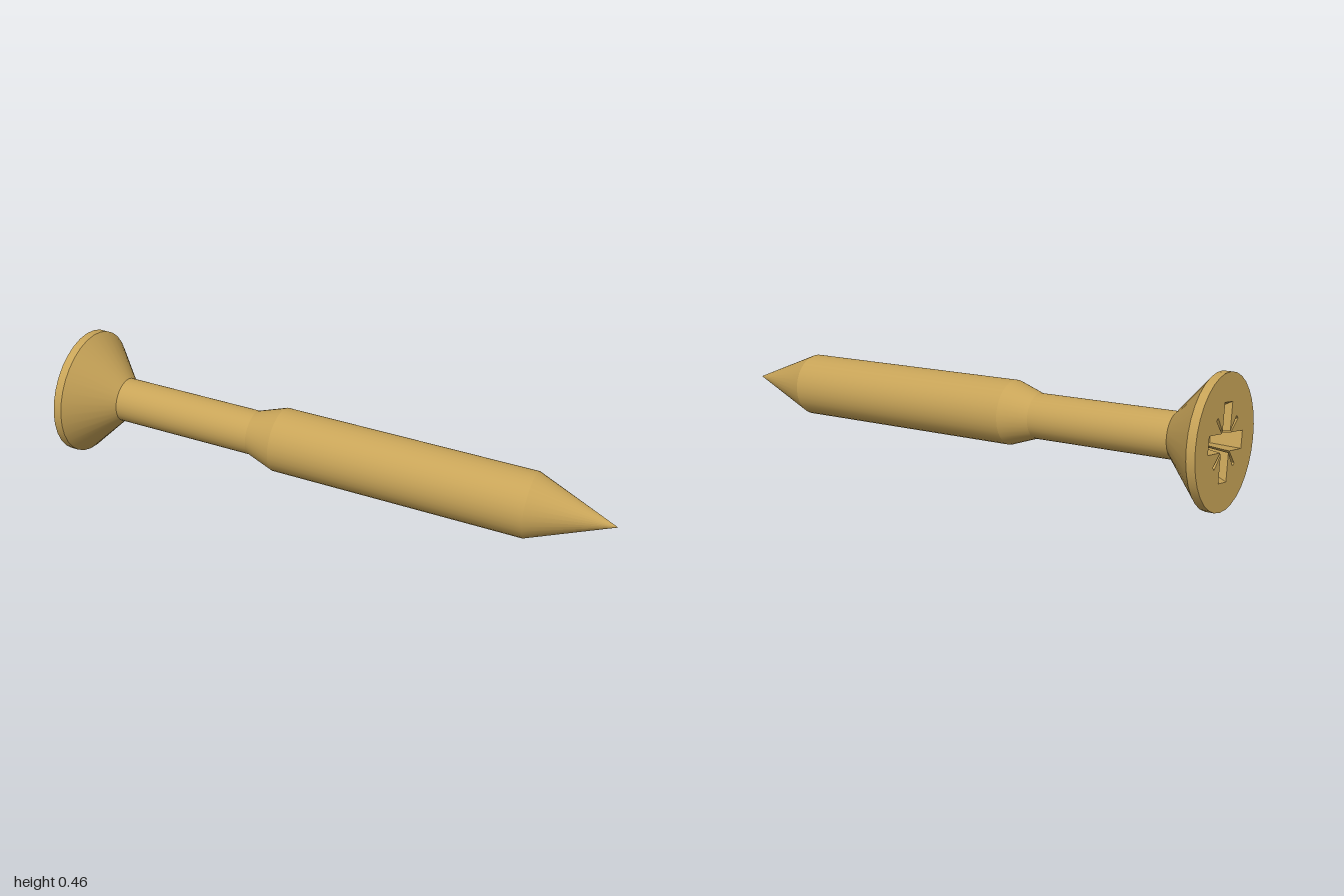
import * as THREE from 'three';

const SIDES = 32;
const HEAD_RADIUS = 0.227;

// Outline of the drive recess: four wide arms with four thin slots between them
function recessOutline(scale) {
  const arm = 0.13, half = 0.03, slot = 0.078, thin = 0.005;
  const corner = [
    [arm, -half], [arm, half], [half + thin, half],
    [slot + thin, slot - thin], [slot - thin, slot + thin], [half, half + thin],
  ];
  const points = [];
  for (let k = 0; k < 4; k++) {
    for (const [x, y] of corner) {
      points.push(new THREE.Vector2(x, y).rotateAround(new THREE.Vector2(), k * Math.PI / 2).multiplyScalar(scale));
    }
  }
  return points;
}

// Tapered walls between the recess rim and its floor, facing inward
function recessWalls(rim, floor, depth) {
  const positions = [];
  rim.forEach((a, i) => {
    const j = (i + 1) % rim.length;
    const b = rim[j], c = floor[j], d = floor[i];
    positions.push(a.x, a.y, 0, b.x, b.y, 0, c.x, c.y, -depth);
    positions.push(a.x, a.y, 0, c.x, c.y, -depth, d.x, d.y, -depth);
  });
  const geometry = new THREE.BufferGeometry();
  geometry.setAttribute('position', new THREE.Float32BufferAttribute(positions, 3));
  geometry.computeVertexNormals();
  return geometry;
}

export function createModel() {
  const brass = new THREE.MeshStandardMaterial({ color: 0xc8a458 });
  brass.name = 'brass';
  const screw = new THREE.Group();
  screw.name = 'screw';

  const add = (name, geometry) => {
    const mesh = new THREE.Mesh(geometry, brass);
    mesh.name = name;
    screw.add(mesh);
  };

  // Turned sections along the axis: name, start, end, start radius, end radius
  const sections = [
    ['headRim', 0, 0.03, HEAD_RADIUS, HEAD_RADIUS],
    ['headCone', 0.03, 0.168, HEAD_RADIUS, 0.08],
    ['neck', 0.168, 0.692, 0.08, 0.08],
    ['shoulder', 0.692, 0.795, 0.08, 0.115],
    ['shank', 0.795, 1.71, 0.115, 0.115],
    ['tip', 1.71, 2.0, 0.115, 0],
  ];
  for (const [name, from, to, r0, r1] of sections) {
    const geometry = new THREE.CylinderGeometry(r1, r0, to - from, SIDES, 1, true);
    add(name, geometry.translate(0, (from + to) / 2, 0));
  }

  // Flat head face with the recess cut into it
  const depth = 0.09;
  const rim = recessOutline(1);
  const floor = recessOutline(0.65);
  const disc = [];
  for (let i = 0; i < SIDES; i++) {
    const a = i / SIDES * Math.PI * 2;
    disc.push(new THREE.Vector2(Math.cos(a) * HEAD_RADIUS, Math.sin(a) * HEAD_RADIUS));
  }
  const face = new THREE.Shape(disc);
  face.holes.push(new THREE.Path(rim));
  add('headFace', new THREE.ShapeGeometry(face).rotateX(Math.PI / 2));
  add('recessWalls', recessWalls(rim, floor, depth).rotateX(Math.PI / 2));
  add('recessFloor', new THREE.ShapeGeometry(new THREE.Shape(floor)).translate(0, 0, -depth).rotateX(Math.PI / 2));

  // Lay the screw down, resting on its head and the end of the shank
  const axis = new THREE.Vector3(1.951, -0.136, 0.416).normalize();
  screw.quaternion.setFromUnitVectors(new THREE.Vector3(0, 1, 0), axis);
  screw.position.set(-0.951, 0.233, -0.126);

  const model = new THREE.Group();
  model.name = 'countersunkScrew';
  model.add(screw);
  return model;
}
